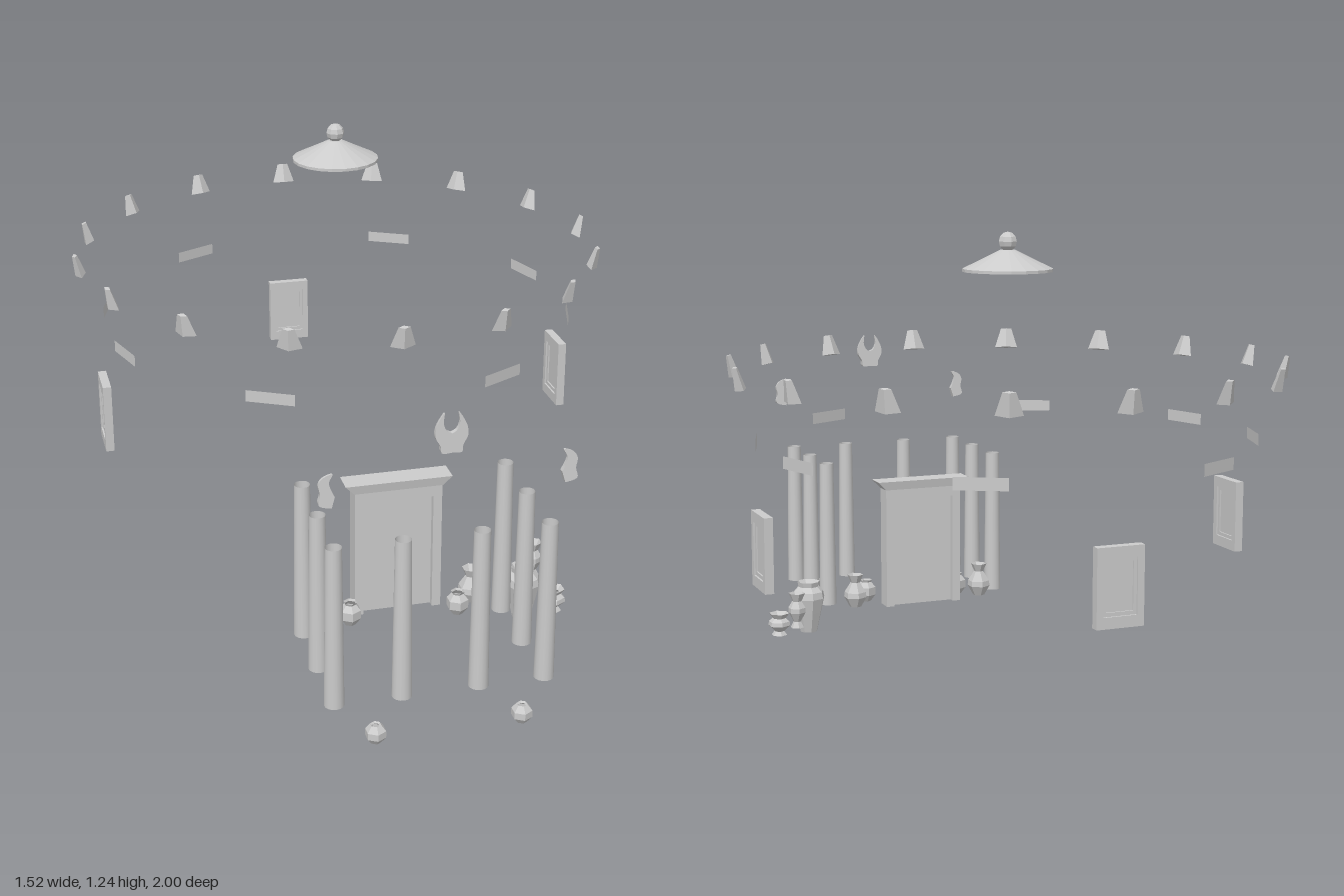
import * as THREE from 'three';

const smooth = new THREE.MeshStandardMaterial({ color: 0xcccccc, side: THREE.DoubleSide });
const flat = new THREE.MeshStandardMaterial({ color: 0xcccccc, side: THREE.DoubleSide, flatShading: true });
const RING_Z = -0.237; // axis of the round hall

function add(parent, name, geometry, x, y, z, material = flat) {
  const mesh = new THREE.Mesh(geometry, material);
  mesh.name = name;
  mesh.position.set(x, y, z);
  parent.add(mesh);
  return mesh;
}

function lathe(points, sides) {
  return new THREE.LatheGeometry(points.map(([r, y]) => new THREE.Vector2(r, y)), sides);
}

// Rectangular border, extruded and centred in depth
function border(w, h, holeW, holeH, depth) {
  const rect = (Type, a, b) => new Type([[-a, -b], [a, -b], [a, b], [-a, b]]
    .map(([x, y]) => new THREE.Vector2(x / 2, y / 2)));
  const shape = rect(THREE.Shape, w, h);
  shape.holes.push(rect(THREE.Path, holeW, holeH));
  return new THREE.ExtrudeGeometry(shape, { depth, bevelEnabled: false }).translate(0, 0, -depth / 2);
}

// Curved horn plate that thins towards its tip
function horn(points, height) {
  const shape = new THREE.Shape();
  shape.moveTo(...points[0]);
  shape.splineThru(points.slice(1).map(([x, y]) => new THREE.Vector2(x, y)));
  const g = new THREE.ExtrudeGeometry(shape, { depth: 1, bevelEnabled: false, curveSegments: 14 });
  g.translate(0, 0, -0.5);
  const p = g.attributes.position;
  for (let i = 0; i < p.count; i++) {
    p.setZ(i, p.getZ(i) * (0.02 - 0.015 * Math.min(1, p.getY(i) / height)));
  }
  g.computeVertexNormals();
  return g;
}

function mirrorX(g) {
  const m = g.clone().scale(-1, 1, 1).toNonIndexed();
  for (const a of Object.values(m.attributes)) {
    const n = a.itemSize;
    for (let i = 0; i < a.count; i += 3) {
      for (let k = 0; k < n; k++) {
        const t = a.array[(i + 1) * n + k];
        a.array[(i + 1) * n + k] = a.array[(i + 2) * n + k];
        a.array[(i + 2) * n + k] = t;
      }
    }
  }
  m.computeVertexNormals();
  return m;
}

export function createModel() {
  const model = new THREE.Group();
  model.name = 'templeOrnaments';

  // Roof cap with finial ball
  const cap = lathe([[0, 1.13], [0.122, 1.13], [0.122, 1.138], [0.07, 1.163], [0.02, 1.188], [0, 1.188]], 20);
  add(model, 'roofCap', cap, 0, 0, RING_Z);
  add(model, 'finialBall', new THREE.SphereGeometry(0.026, 8, 6), 0, 1.21, RING_Z);

  // Ring of eave ornaments leaning outwards
  const eave = new THREE.CylinderGeometry(0.016, 0.034, 0.058, 4).scale(1, 1, 0.45);
  for (let i = 0; i < 16; i++) {
    const a = (i * Math.PI) / 8;
    const o = add(model, 'eaveOrnament', eave, Math.sin(a) * 0.745, 0.876, RING_Z + Math.cos(a) * 0.745);
    o.rotation.set(0.25, a, 0, 'YXZ');
  }

  // Thin frieze tablets, mirrored in each quadrant
  const tablet = new THREE.PlaneGeometry(0.134, 0.032);
  for (const deg of [28.1, 73.1]) {
    for (const s of [1, -1]) {
      for (const base of [0, Math.PI]) {
        const a = base + s * THREE.MathUtils.degToRad(deg);
        add(model, 'friezeTablet', tablet, Math.sin(a) * 0.676, 0.676, RING_Z + Math.cos(a) * 0.676)
          .rotation.y = a;
      }
    }
  }

  // Windows on the left, right and back
  for (const a of [Math.PI / 2, Math.PI, -Math.PI / 2]) {
    const w = new THREE.Group();
    w.name = 'window';
    add(w, 'windowFrame', border(0.126, 0.2, 0.09, 0.142, 0.024), 0, 0, 0);
    add(w, 'windowInnerFrame', border(0.09, 0.142, 0.072, 0.122, 0.014), 0, 0, 0);
    add(w, 'windowPane', new THREE.BoxGeometry(0.072, 0.122, 0.006), 0, 0, 0);
    w.position.set(Math.sin(a) * 0.688, 0.422, RING_Z + Math.cos(a) * 0.688);
    w.rotation.y = a;
    model.add(w);
  }

  // Doorway: jambs, header, recessed panel and flared cornice
  const door = new THREE.Group();
  door.name = 'doorway';
  for (const s of [1, -1]) add(door, 'doorJamb', new THREE.BoxGeometry(0.024, 0.365, 0.052), s * 0.108, 0.2475, 0);
  add(door, 'doorHeader', new THREE.BoxGeometry(0.192, 0.032, 0.052), 0, 0.414, 0);
  add(door, 'doorPanel', new THREE.BoxGeometry(0.192, 0.333, 0.016), 0, 0.2315, 0);
  const cornice = new THREE.BoxGeometry(0.292, 0.026, 0.066);
  const cp = cornice.attributes.position;
  for (let i = 0; i < cp.count; i++) {
    if (cp.getY(i) < 0) cp.setXYZ(i, cp.getX(i) * 0.83, cp.getY(i), cp.getZ(i) * 0.85);
  }
  cornice.computeVertexNormals();
  add(door, 'doorCornice', cornice, 0, 0.442, 0);
  door.position.z = 0.45;
  model.add(door);

  // Porch columns, open at both ends
  const column = new THREE.CylinderGeometry(0.021, 0.026, 0.44, 16, 1, true);
  for (const [x, z] of [[0.274, 0.535], [0.274, 0.71], [0.274, 0.885], [0.1, 0.885]]) {
    for (const s of [1, -1]) add(model, 'column', column, s * x, 0.285, z, smooth);
  }

  // Gable ornaments: paired horns on the peak, single ones on the corners
  const peakHorn = horn([[0, 0], [0.024, 0], [0.028, 0.018], [0.04, 0.042], [0.036, 0.07], [0.018, 0.1],
    [0.02, 0.075], [0.013, 0.056], [0, 0.048]], 0.1);
  add(model, 'peakHornLeft', peakHorn, 0, 0.75, 0.932);
  add(model, 'peakHornRight', mirrorX(peakHorn), 0, 0.75, 0.932);
  const cornerHorn = horn([[-0.008, 0], [0.022, 0.009], [0.019, 0.035], [0.023, 0.06], [0.012, 0.077],
    [-0.012, 0.085], [-0.003, 0.065], [-0.008, 0.045], [-0.016, 0.028]], 0.085);
  add(model, 'cornerHornLeft', cornerHorn, 0.297, 0.635, 0.925);
  add(model, 'cornerHornRight', mirrorX(cornerHorn), -0.297, 0.635, 0.925);

  // Pottery
  const bowl = lathe([[0, 0], [0.014, 0], [0.027, 0.016], [0.027, 0.034], [0.014, 0.05], [0.01, 0.046]], 6);
  const jar = lathe([[0, 0], [0.015, 0], [0.03, 0.02], [0.03, 0.044], [0.016, 0.06], [0.019, 0.066]], 6);
  const vase = lathe([[0, 0], [0.018, 0], [0.035, 0.03], [0.033, 0.046], [0.014, 0.076], [0.025, 0.1],
    [0.012, 0.08]], 6);
  const amphora = lathe([[0, 0], [0.026, 0], [0.04, 0.06], [0.05, 0.105], [0.046, 0.125], [0.031, 0.14],
    [0.034, 0.155], [0.022, 0.14]], 8);
  const urn = lathe([[0, 0], [0.02, 0], [0.011, 0.018], [0.026, 0.046], [0.026, 0.06], [0.014, 0.08],
    [0.025, 0.104], [0.012, 0.084]], 6);
  const squatPot = lathe([[0, 0], [0.024, 0], [0.015, 0.012], [0.034, 0.03], [0.032, 0.042], [0.02, 0.052],
    [0.031, 0.067], [0.018, 0.055]], 6);
  const pots = [
    ['frontBowl', bowl, -0.19, 0, 0.972], ['frontBowl', bowl, 0.188, 0, 0.972],
    ['porchJar', jar, -0.142, 0.065, 0.514], ['porchJar', jar, 0.153, 0.065, 0.528],
    ['porchVase', vase, -0.202, 0.065, 0.472], ['porchVase', vase, 0.207, 0.065, 0.47],
    ['amphora', amphora, 0.354, 0, 0.478], ['footedUrn', urn, 0.428, 0.05, 0.35],
    ['squatPot', squatPot, 0.45, 0, 0.468],
  ];
  for (const [name, g, x, y, z] of pots) add(model, name, g, x, y, z);

  return model;
}
